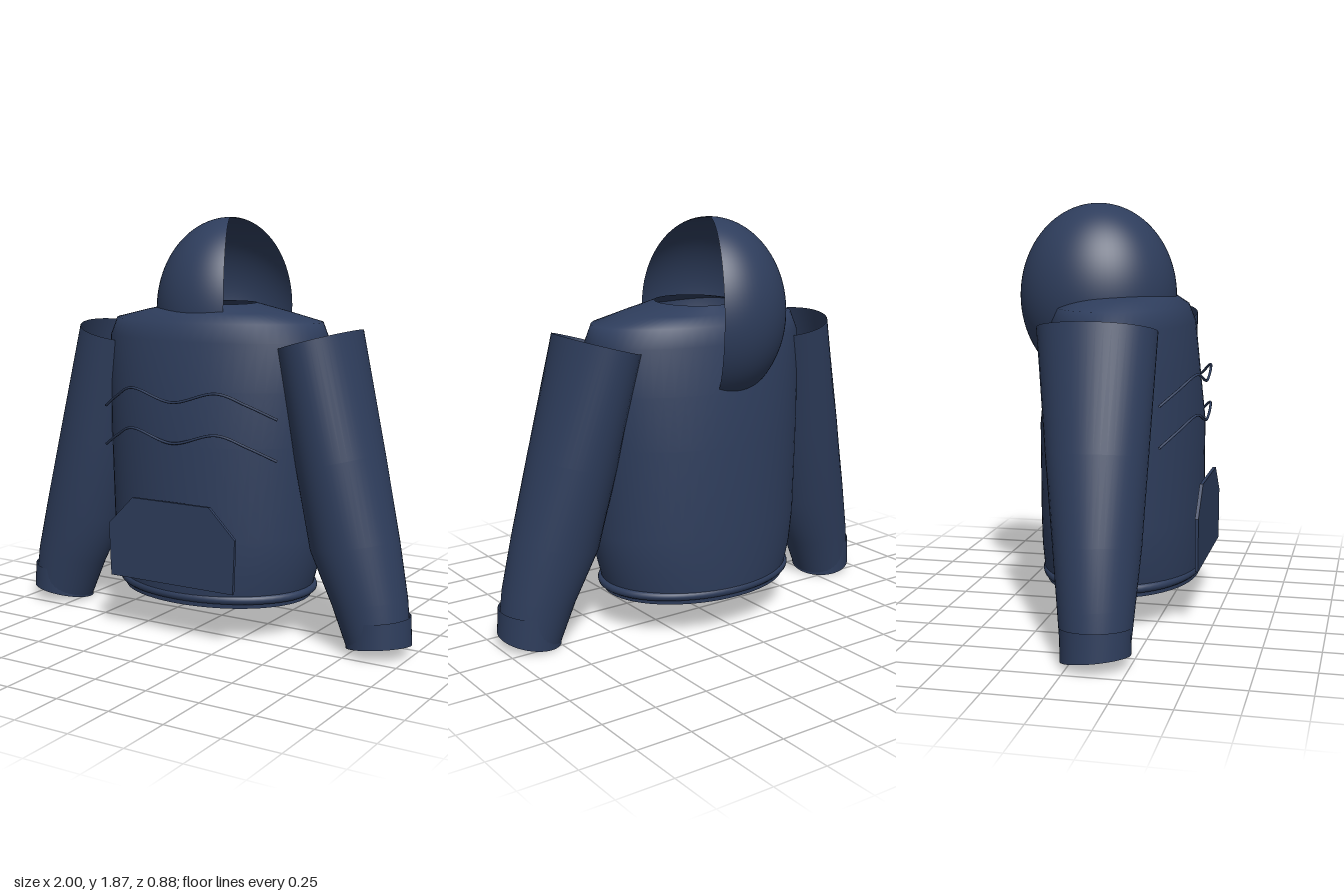
import * as THREE from 'three';

const navy = new THREE.MeshStandardMaterial({ color: 0x2e3d5c, side: THREE.DoubleSide });
navy.name = 'navyFabric';

// Skin through elliptical rings, bottom to top: [cx, cy, cz, rx, rz, tiltX, tiltZ]
function loft(rings, side = 1, n = 48) {
  const pos = [], idx = [];
  rings.forEach(([cx, cy, cz, rx, rz, tx = 0, tz = 0], i) => {
    for (let j = 0; j < n; j++) {
      const a = side * j / n * Math.PI * 2, c = Math.cos(a), s = Math.sin(a);
      pos.push(side * (cx + rx * c), cy + tx * c + tz * s, cz + rz * s);
      if (i === rings.length - 1) continue;
      const p = i * n + j, q = i * n + (j + 1) % n;
      idx.push(p, p + n, q, q, p + n, q + n);
    }
  });
  const g = new THREE.BufferGeometry();
  g.setAttribute('position', new THREE.Float32BufferAttribute(pos, 3));
  g.setIndex(idx);
  g.computeVertexNormals();
  return g;
}

export function createModel() {
  const model = new THREE.Group();
  model.name = 'hoodedTop';
  const add = (name, geometry, parent = model) => {
    const m = new THREE.Mesh(geometry, navy);
    m.name = name;
    parent.add(m);
    return m;
  };

  // Body, open at hem and neck
  add('body', loft([
    [0, 0.21, 0.04, 0.47, 0.362],
    [0, 0.32, 0.04, 0.50, 0.37],
    [0, 0.46, 0.04, 0.52, 0.372],
    [0, 0.88, 0.04, 0.535, 0.372],
    [0, 1.12, 0.04, 0.55, 0.345],
    [0, 1.33, 0.04, 0.55, 0.322],
    [0, 1.41, 0.04, 0.52, 0.29],
    [0, 1.45, 0.04, 0.35, 0.24],
    [0, 1.485, 0.04, 0.175, 0.195],
  ], 1, 64));

  // Hem strip with a rolled band above it
  add('hemStrip', loft([[0, 0.16, 0.04, 0.46, 0.35], [0, 0.22, 0.04, 0.465, 0.355]], 1, 64));
  const band = add('hemBand', new THREE.TorusGeometry(0.47, 0.02, 10, 64));
  band.rotation.x = Math.PI / 2;
  band.scale.y = 0.75;
  band.position.set(0, 0.2, 0.04);

  // Hood: ellipsoid shell with an open wedge
  const hood = add('hood', new THREE.SphereGeometry(1, 48, 40, Math.PI * 1.35, Math.PI * 1.3, 0, Math.PI * 0.82));
  hood.scale.set(0.335, 0.42, 0.36);
  hood.position.set(0, 1.45, -0.08);

  // Sleeves with cuffs, closed at the wrist
  for (const side of [1, -1]) {
    const arm = new THREE.Group();
    arm.name = side > 0 ? 'leftSleeve' : 'rightSleeve';
    model.add(arm);
    add('sleeve', loft([
      [0.857, 0.03, 0.108, 0.138, 0.141, 0.022, 0.02],
      [0.808, 0.22, 0.1, 0.165, 0.16, 0.03, 0.015],
      [0.725, 0.46, 0.085, 0.196, 0.185, 0.04, 0.01],
      [0.642, 0.82, 0.064, 0.188, 0.217, 0.045, 0.005],
      [0.525, 1.338, 0.037, 0.167, 0.26, 0.048, 0],
    ], side), arm);
    const wrist = [0.858, 0.03, 0.108, 0.142, 0.146, 0.022, 0.021];
    add('cuff', loft([wrist, [0.852, 0.16, 0.106, 0.14, 0.148, 0.015, 0.005]], side), arm);
    add('cuffEnd', loft([[0.858, 0.03, 0.108, 0, 0], wrist], side), arm);
  }

  // Wavy chest cords
  for (const y of [1.07, 0.89]) {
    const half = [[0.45, -0.06, 0.29], [0.34, 0, 0.355], [0.22, 0.05, 0.41]];
    const pts = [
      ...half.map(([x, dy, z]) => new THREE.Vector3(-x, y + dy, z)),
      new THREE.Vector3(0, y, 0.425),
      ...half.map(([x, dy, z]) => new THREE.Vector3(x, y + dy, z)).reverse(),
    ];
    add('chestCord', new THREE.TubeGeometry(new THREE.CatmullRomCurve3(pts), 64, 0.006, 8));
  }

  // Front pocket plate
  const outline = [[-0.32, 0.26], [0.32, 0.26], [0.33, 0.5], [0.2, 0.63], [-0.2, 0.63], [-0.33, 0.5]];
  const pocket = add('frontPocket', new THREE.ExtrudeGeometry(
    new THREE.Shape(outline.map(([x, y]) => new THREE.Vector2(x, y))),
    { depth: 0.015, bevelEnabled: false }));
  pocket.position.z = 0.428;

  return model;
}
